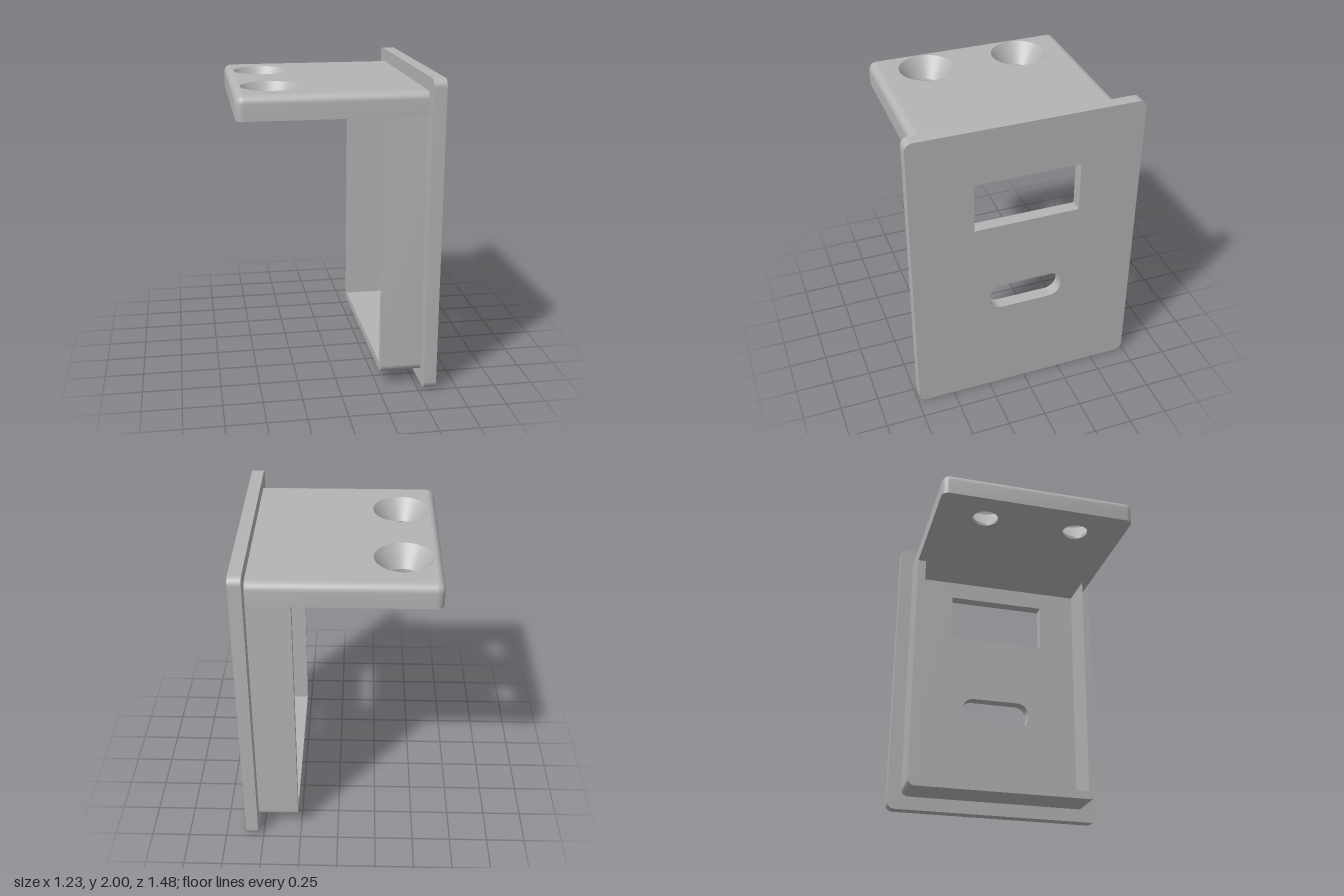
import * as THREE from 'three';
import { toCreasedNormals } from 'three/addons/utils/BufferGeometryUtils.js';

const grey = new THREE.MeshStandardMaterial({ color: 0xb4b4b4 });
grey.name = 'plain grey';

const BACK = -0.615, SEAM = 0.535, HALF = 0.65, R = 0.05;   // bracket extents and fillet
const SHELF_LOW = 1.765, SHELF_TOP = 1.915;
const HOLES = [-0.315, 0.315], HOLE_X = -0.385, HOLE_R = 0.085, SINK_R = 0.215;

const smooth = (g) => toCreasedNormals(g, 0.6);

function part(name, geometry) {
  const mesh = new THREE.Mesh(geometry, grey);
  mesh.name = name;
  return mesh;
}

// Rounded rectangle centred on x = 0
function roundedRect(target, half, low, high, r) {
  target.moveTo(half, low + r);
  target.absarc(half - r, high - r, r, 0, Math.PI / 2);
  target.absarc(-half + r, high - r, r, Math.PI / 2, Math.PI);
  target.absarc(-half + r, low + r, r, Math.PI, Math.PI * 1.5);
  target.absarc(half - r, low + r, r, Math.PI * 1.5, Math.PI * 2);
  return target;
}

// Extrude a (z, y) shape along x
function extrudeX(shape, from, to) {
  const g = new THREE.ExtrudeGeometry(shape, { depth: to - from, bevelEnabled: false, curveSegments: 10 });
  return smooth(g.rotateY(Math.PI / 2).translate(from, 0, 0));
}

// Shelf plan: square against the plate, rounded at the free end
function shelfOutline(r) {
  const w = HALF - R + r, pts = [[SEAM, w]];
  for (const side of [1, -1]) {
    for (let i = 0; i <= 8; i++) {
      const a = Math.PI / 2 * (i / 8 + (side > 0 ? 1 : 2));
      pts.push([BACK + R + r * Math.cos(a), side * (HALF - R) + r * Math.sin(a)]);
    }
  }
  pts.push([SEAM, -w]);
  return pts;
}

// Sides of the shelf with the rounded top edge
function shelfSides() {
  const rings = [[SHELF_LOW, R]];
  for (let i = 0; i <= 8; i++) {
    const a = Math.PI / 2 * i / 8;
    rings.push([SHELF_TOP - R + R * Math.sin(a), R * Math.cos(a)]);
  }
  const pos = [], index = [], n = shelfOutline(R).length;
  rings.forEach(([h, r], k) => {
    for (const [x, s] of shelfOutline(r)) pos.push(x, s, h);
    if (k === 0) return;
    for (let i = 0; i < n - 1; i++) {
      const a = (k - 1) * n + i, b = a + 1, c = b + n, d = a + n;
      index.push(a, b, c, a, c, d);
    }
  });
  const g = new THREE.BufferGeometry();
  g.setAttribute('position', new THREE.Float32BufferAttribute(pos, 3));
  g.setIndex(index);
  return smooth(g.rotateX(-Math.PI / 2));
}

// Flat shelf face with two round holes
function shelfFace(points, holeRadius) {
  const shape = new THREE.Shape(points.map(([x, s]) => new THREE.Vector2(x, s)));
  for (const z of HOLES) {
    shape.holes.push(new THREE.Path().absarc(HOLE_X, z, holeRadius, 0, Math.PI * 2, true));
  }
  return new THREE.ShapeGeometry(shape, 48);
}

export function createModel() {
  const model = new THREE.Group();
  model.name = 'mountingBracket';

  // Face plate with a rectangular window and a rounded slot
  const plate = roundedRect(new THREE.Shape(), 0.74, 0, 2, 0.05);
  plate.holes.push(
    new THREE.Path([[-0.34, 1.31], [-0.34, 1.64], [0.34, 1.64], [0.34, 1.31]].map((p) => new THREE.Vector2(...p))),
    roundedRect(new THREE.Path(), 0.242, 0.66, 0.842, 0.08),
  );
  model.add(part('facePlate', extrudeX(plate, SEAM, 0.615)));

  // U-shaped frame of thin walls behind the plate
  const low = 0.09, inner = HALF - 0.055;
  const frame = new THREE.Shape();
  frame.moveTo(-HALF, SHELF_LOW);
  frame.absarc(-HALF + R, low + R, R, Math.PI, Math.PI * 1.5);
  frame.absarc(HALF - R, low + R, R, Math.PI * 1.5, Math.PI * 2);
  frame.lineTo(HALF, SHELF_LOW);
  frame.lineTo(inner, SHELF_LOW);
  frame.lineTo(inner, low + 0.055);
  frame.lineTo(-inner, low + 0.055);
  frame.lineTo(-inner, SHELF_LOW);
  model.add(part('frame', extrudeX(frame, 0.27, SEAM)));

  // Mounting shelf
  const shelf = new THREE.Group();
  shelf.name = 'shelf';
  const w = HALF - R;
  const topRect = [[SEAM, w], [BACK + R, w], [BACK + R, -w], [SEAM, -w]];
  // the countersinks reach slightly past the flat area's edge only if wider than this
  const sink = Math.min(SINK_R, HOLE_X - BACK - R - 0.001);
  const sinkDrop = SINK_R - HOLE_R;
  shelf.add(
    part('shelfSides', shelfSides()),
    part('shelfTop', shelfFace(topRect, sink).rotateX(-Math.PI / 2).translate(0, SHELF_TOP, 0)),
    part('shelfUnderside', shelfFace(shelfOutline(R), HOLE_R).rotateX(Math.PI / 2).translate(0, SHELF_LOW, 0)),
  );

  // Countersunk screw holes
  const profile = [[sink, SHELF_TOP], [HOLE_R, SHELF_TOP - sinkDrop], [HOLE_R, SHELF_LOW]]
    .map((p) => new THREE.Vector2(...p));
  for (const z of HOLES) {
    const hole = part('screwHole', smooth(new THREE.LatheGeometry(profile, 48)));
    hole.position.set(HOLE_X, 0, z);
    shelf.add(hole);
  }
  model.add(shelf);
  return model;
}
